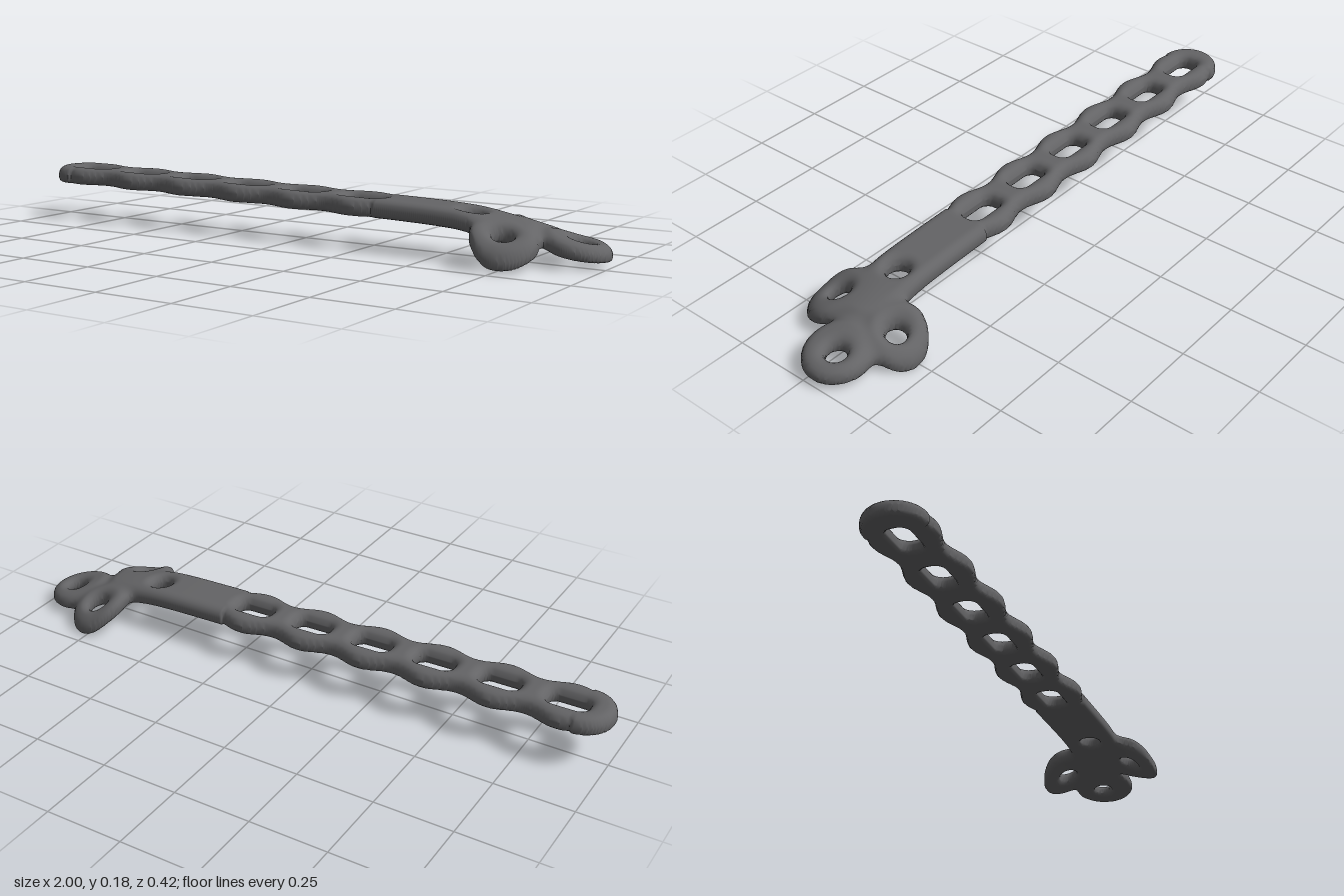
import * as THREE from 'three';
import { mergeVertices } from 'three/addons/utils/BufferGeometryUtils.js';

const AXIS_Z = 0.015;
const SLOT_X = Array.from({ length: 6 }, (_, i) => -0.853 + i * 0.2155);
// head lobes: x, z, radius, and the screw hole at each one
const LOBES = [
  { x: 0.74, z: 0.11, r: 0.098, hx: 0.738, hz: 0.112 },
  { x: 0.754, z: -0.122, r: 0.092, hx: 0.757, hz: -0.128 },
  { x: 0.9, z: -0.038, r: 0.1, hx: 0.912, hz: -0.048 },
];
const { smoothstep, clamp } = THREE.MathUtils;

// smooth union of two inside-positive distances
function blend(a, b, k) {
  const h = Math.max(k - Math.abs(a - b), 0) / k;
  return Math.max(a, b) + h * h * k * 0.25;
}

// scalloped shaft with round ends
function shaft(x, z) {
  const wave = 0.0875 + 0.0125 * Math.cos((2 * Math.PI * (x + 0.853)) / 0.2155);
  const half = x < -0.9 ? 0.098 : x < 0.3 ? wave : 0.088;
  return half - Math.hypot(Math.max(-0.9 - x, x - 0.72, 0), z - AXIS_Z);
}

// distance to the nearest edge, positive inside the metal
function edgeDistance(x, z) {
  let d = shaft(x, z);
  for (const l of LOBES) d = blend(d, l.r - Math.hypot(x - l.x, z - l.z), 0.04);
  for (const sx of SLOT_X) {
    const qx = Math.abs(x - sx) - 0.037, qz = Math.abs(z - AXIS_Z) - 0.008;
    const slot = Math.hypot(Math.max(qx, 0), Math.max(qz, 0)) + Math.min(Math.max(qx, qz), 0) - 0.026;
    d = Math.min(d, slot);
  }
  d = Math.min(d, Math.hypot(x - 0.596, z - AXIS_Z) - 0.034);
  for (const l of LOBES) d = Math.min(d, Math.hypot(x - l.hx, z - l.hz) - 0.031);
  return d;
}

// spine seen from the front
const SPINE = new THREE.SplineCurve([
  [-1.05, 0.153], [-0.5, 0.147], [0, 0.138], [0.35, 0.132], [0.55, 0.125],
  [0.68, 0.11], [0.8, 0.086], [0.9, 0.062], [1.05, 0.03],
].map((p) => new THREE.Vector2(...p))).getPoints(160);

function spineY(x) {
  let i = 1;
  while (i < SPINE.length - 1 && SPINE[i].x < x) i++;
  const a = SPINE[i - 1], b = SPINE[i];
  return a.y + ((b.y - a.y) * (x - a.x)) / (b.x - a.x);
}

// the head also droops sideways like a saddle
function middleY(x, z) {
  const saddle = smoothstep(x, 0.57, 0.74) * (1 - 0.7 * smoothstep(x, 0.8, 0.97));
  return spineY(x) - 1.5 * saddle * z * z;
}

const roundOff = (d, r) => Math.sqrt(1 - (1 - clamp(d / r, 0, 1)) ** 2);

function plateGeometry() {
  const step = 0.007, pos = [];
  const at = (p, top) => {
    const half = 0.0275 - 0.005 * smoothstep(p.x, 0.75, 1);
    const off = top ? half * roundOff(p.d, 0.034) : -half * (0.55 + 0.45 * roundOff(p.d, 0.014));
    return [p.x, middleY(p.x, p.z) + off, p.z];
  };
  const tri = (a, b, c) => pos.push(...a, ...b, ...c);

  // keep the part of a flat triangle that lies inside the outline
  const addTriangle = (corners) => {
    const poly = [];
    corners.forEach((a, i) => {
      const b = corners[(i + 1) % 3];
      if (a.d > 0) poly.push(a);
      if (a.d > 0 !== b.d > 0) {
        const t = a.d / (a.d - b.d);
        poly.push({ x: a.x + (b.x - a.x) * t, z: a.z + (b.z - a.z) * t, d: 0, edge: true });
      }
    });
    for (let i = 1; i < poly.length - 1; i++) {
      const [a, b, c] = [poly[0], poly[i], poly[i + 1]];
      tri(at(a, false), at(b, false), at(c, false));
      tri(at(c, true), at(b, true), at(a, true));
    }
    // side wall along the outline and in the holes
    poly.forEach((a, i) => {
      const b = poly[(i + 1) % poly.length];
      if (!a.edge || !b.edge) return;
      tri(at(b, false), at(a, false), at(a, true));
      tri(at(b, false), at(a, true), at(b, true));
    });
  };

  const nx = Math.ceil(2.04 / step), nz = Math.ceil(0.46 / step);
  const grid = [];
  for (let i = 0; i <= nx; i++) {
    grid.push([]);
    for (let j = 0; j <= nz; j++) {
      const x = -1.0203 + i * step, z = -0.2307 + j * step;
      grid[i].push({ x, z, d: edgeDistance(x, z) });
    }
  }
  for (let i = 0; i < nx; i++) {
    for (let j = 0; j < nz; j++) {
      const a = grid[i][j], b = grid[i + 1][j], c = grid[i + 1][j + 1], e = grid[i][j + 1];
      addTriangle([a, b, c]);
      addTriangle([a, c, e]);
    }
  }
  const raw = new THREE.BufferGeometry();
  raw.setAttribute('position', new THREE.Float32BufferAttribute(pos, 3));
  const geometry = mergeVertices(raw, 1e-5);
  geometry.computeVertexNormals();
  return geometry;
}

export function createModel() {
  const metal = new THREE.MeshStandardMaterial({ color: 0x646466 });
  metal.name = 'dark grey metal';
  const plate = new THREE.Mesh(plateGeometry(), metal);
  plate.name = 'perforatedPlate';

  // stand on the ground, centred
  plate.geometry.computeBoundingBox();
  const box = plate.geometry.boundingBox, mid = box.getCenter(new THREE.Vector3());
  plate.position.set(-mid.x, -box.min.y, -mid.z);

  const group = new THREE.Group();
  group.name = 'bonePlate';
  group.add(plate);
  return group;
}
